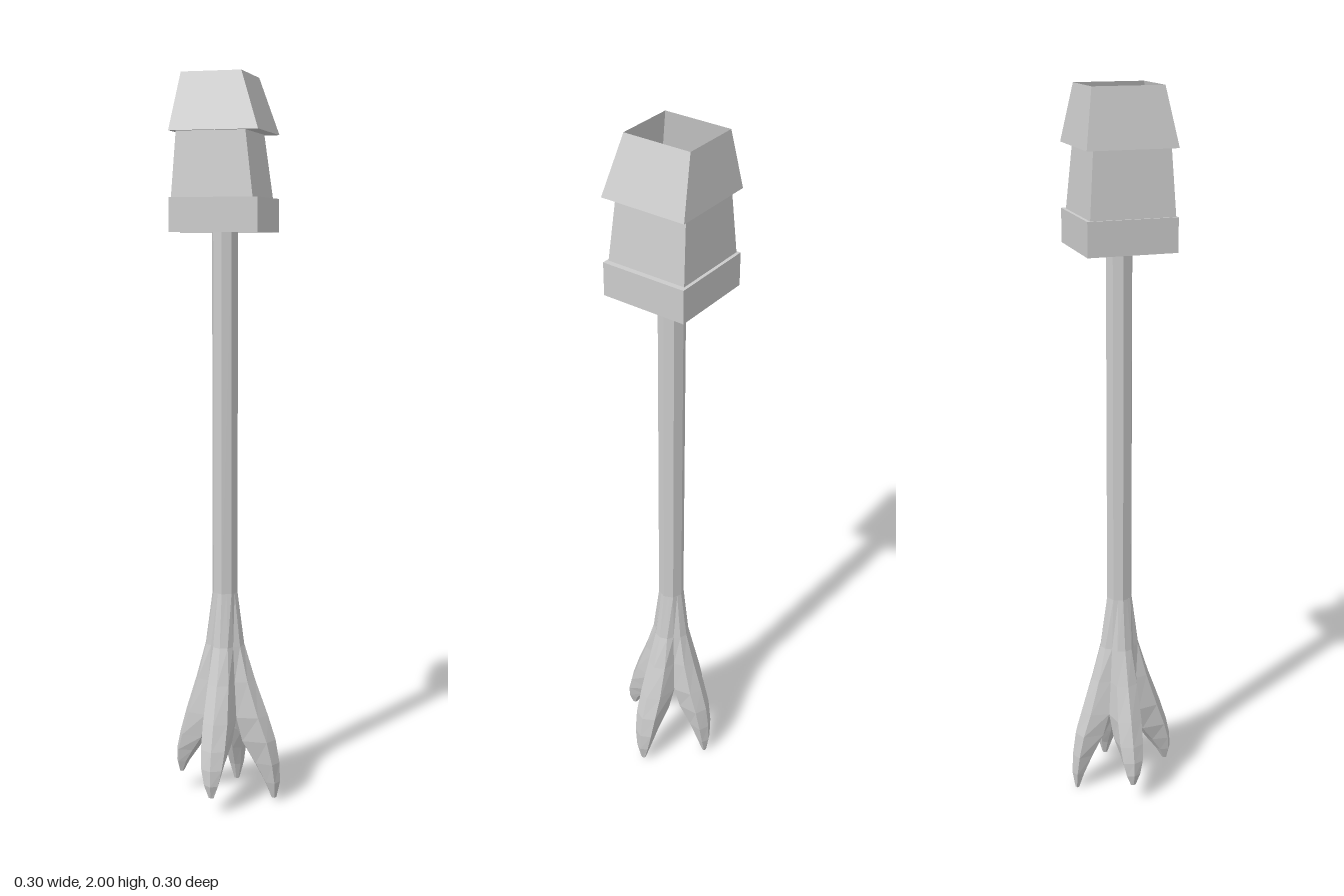
import * as THREE from 'three';

const material = new THREE.MeshStandardMaterial({
  color: 0xcccccc, flatShading: true, side: THREE.DoubleSide,
});

// Skin between rings of points, listed bottom to top and anticlockwise from above
function loft(rings, capBottom = true) {
  const pos = [];
  const tri = (...pts) => pts.forEach((p) => pos.push(...p));
  for (let k = 0; k < rings.length - 1; k++) {
    const lo = rings[k], hi = rings[k + 1], n = lo.length;
    for (let i = 0; i < n; i++) {
      const j = (i + 1) % n;
      tri(lo[i], lo[j], hi[j]);
      tri(lo[i], hi[j], hi[i]);
    }
  }
  if (capBottom) {
    const r = rings[0];
    for (let i = 1; i < r.length - 1; i++) tri(r[0], r[i + 1], r[i]);
  }
  const g = new THREE.BufferGeometry();
  g.setAttribute('position', new THREE.Float32BufferAttribute(pos, 3));
  g.computeVertexNormals();
  return g;
}

const rect = (y, x0, x1, z0, z1) => [[x0, y, z1], [x1, y, z1], [x1, y, z0], [x0, y, z0]];

function add(parent, name, geometry) {
  const mesh = new THREE.Mesh(geometry, material);
  mesh.name = name;
  parent.add(mesh);
  return mesh;
}

// Root cross-sections: y, ridge radius, shoulder radius, shoulder half width,
// flank radius, flank half width, inner radius
const rootLevels = [
  [0.00, 0.148, 0.145, 0.007, 0.137, 0.006, 0.134],
  [0.05, 0.158, 0.147, 0.02, 0.122, 0.016, 0.114],
  [0.11, 0.156, 0.142, 0.029, 0.095, 0.024, 0.082],
  [0.18, 0.145, 0.128, 0.034, 0.06, 0.036, 0.048],
  [0.25, 0.123, 0.104, 0.035, 0.045, 0.045, 0],
  [0.35, 0.087, 0.073, 0.03, 0.038, 0.038, 0],
  [0.45, 0.056, 0.049, 0.021, 0.032, 0.032, 0],
  [0.60, 0.036, 0.031, 0.013, 0.0255, 0.0255, 0],
];

function rootGeometry(reach, tipY) {
  const far = (r) => (r > 0.06 ? 0.06 + (r - 0.06) * reach : r);
  return loft(rootLevels.map(([y, ridge, sh, shW, fl, flW, inner]) => {
    // Lift the tip without moving the fork
    const h = y < 0.18 ? tipY + y * (0.18 - tipY) / 0.18 : y;
    return [
      [far(ridge), h, 0], [far(sh), h, -shW], [far(fl), h, -flW],
      [far(inner), h, 0], [far(fl), h, flW], [far(sh), h, shW],
    ];
  }));
}

export function createModel() {
  const model = new THREE.Group();
  model.name = 'torchPost';

  // Post with forked roots, slightly off the centre
  const post = new THREE.Group();
  post.name = 'post';
  post.position.set(-0.01, 0, -0.01);
  model.add(post);
  const shaft = add(post, 'shaft', new THREE.CylinderGeometry(0.036, 0.036, 1, 8, 1, true));
  shaft.position.y = 1.1;

  // name, turn about y, reach, tip height
  const roots = [
    ['leftRoot', 0, 1.03, 0.01],
    ['backRoot', Math.PI / 2, 0.86, 0],
    ['rightRoot', Math.PI, 0.85, 0.06],
    ['frontRoot', -Math.PI / 2, 1, 0.05],
  ];
  for (const [name, turn, reach, tipY] of roots) {
    add(post, name, rootGeometry(reach, tipY)).rotation.y = turn;
  }

  // Square head: plinth, tapered body and open hood
  const head = new THREE.Group();
  head.name = 'head';
  model.add(head);
  const plinth = add(head, 'plinth', new THREE.BoxGeometry(0.24, 0.09, 0.24));
  plinth.position.set(-0.01, 1.635, -0.011);
  add(head, 'body', loft([
    rect(1.68, -0.125, 0.095, -0.122, 0.104),
    rect(1.85, -0.114, 0.073, -0.11, 0.094),
  ]));
  add(head, 'hood', loft([
    rect(1.85, -0.13, 0.11, -0.131, 0.109),
    rect(2, -0.104, 0.058, -0.11, 0.079),
  ]));
  return model;
}
